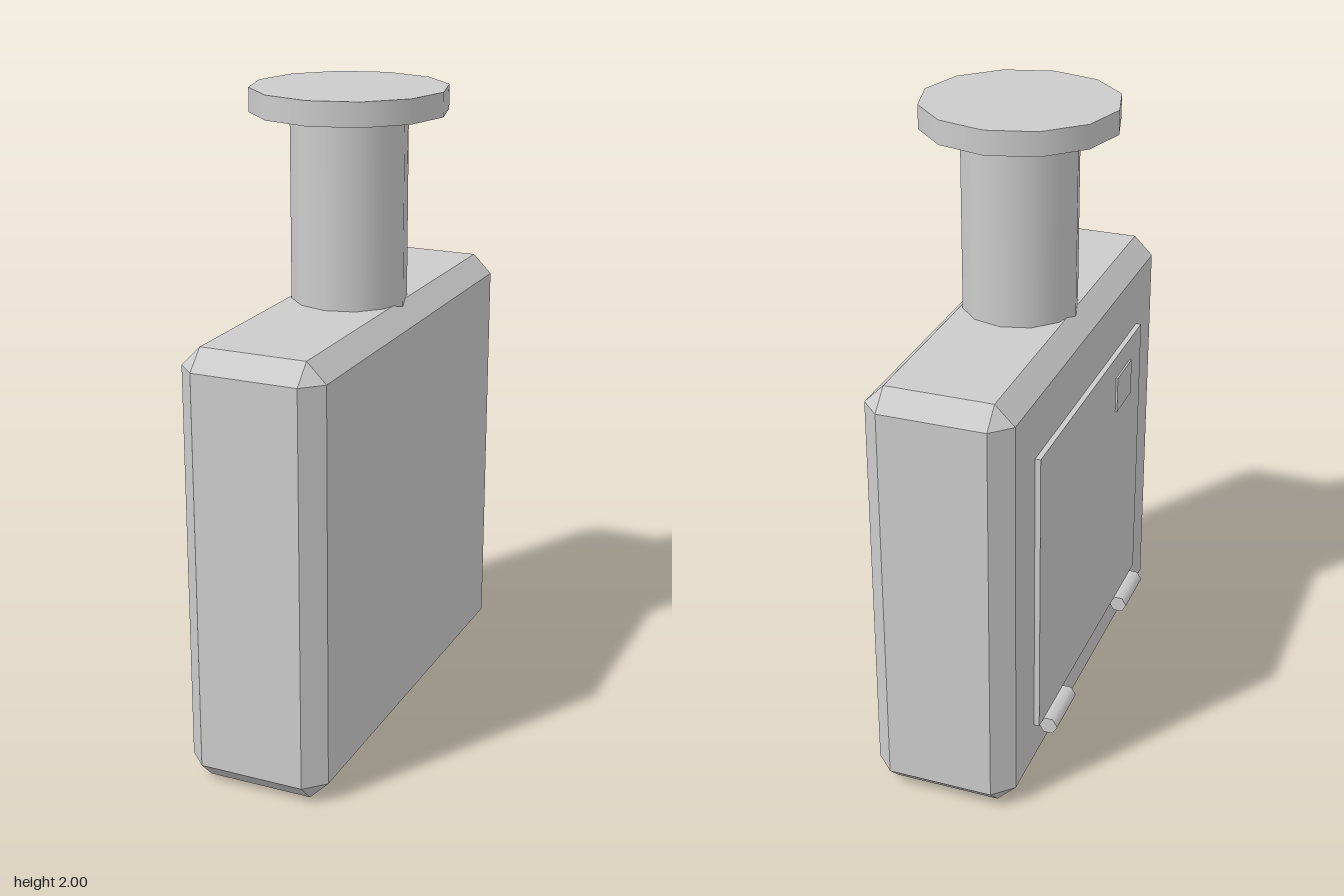
import * as THREE from 'three';
import { ConvexGeometry } from 'three/addons/geometries/ConvexGeometry.js';

// Box with all edges bevelled, corners cut to triangles
function bevelledBox(w, h, d, b) {
  const points = [];
  for (const sx of [-1, 1]) for (const sy of [-1, 1]) for (const sz of [-1, 1]) {
    const x = w / 2, y = h / 2, z = d / 2;
    points.push(
      new THREE.Vector3(sx * x, sy * (y - b), sz * (z - b)),
      new THREE.Vector3(sx * (x - b), sy * y, sz * (z - b)),
      new THREE.Vector3(sx * (x - b), sy * (y - b), sz * z)
    );
  }
  return new ConvexGeometry(points);
}

export function createModel() {
  const model = new THREE.Group();
  model.name = 'plungerBox';
  const grey = new THREE.MeshStandardMaterial({ color: 0xcccccc });
  grey.name = 'light grey';

  function add(name, geometry, x, y, z) {
    const mesh = new THREE.Mesh(geometry, grey);
    mesh.name = name;
    mesh.position.set(x, y, z);
    model.add(mesh);
    return mesh;
  }

  // Main body
  add('body', bevelledBox(0.45, 1.356, 1.426, 0.06), 0, 0.678, 0);

  // Plunger: shaft and wide twelve-sided cap, with a corner on the x axis
  add('plungerShaft', new THREE.CylinderGeometry(0.178, 0.178, 0.6, 12), 0, 1.64, 0);
  add('plungerCap', new THREE.CylinderGeometry(0.299, 0.299, 0.073, 12), 0, 1.9635, 0);

  // Door on the side, with its latch
  add('door', new THREE.BoxGeometry(0.025, 0.935, 0.985), -0.2295, 0.6475, 0);
  add('latch', new THREE.BoxGeometry(0.016, 0.12, 0.15), -0.24, 0.98, 0.3);

  // Hinge barrels under the door
  for (const side of [-1, 1]) {
    const barrel = new THREE.CylinderGeometry(0.03, 0.03, 0.18, 6);
    barrel.rotateY(Math.PI / 6).rotateX(Math.PI / 2);
    add('hinge', barrel, -0.256, 0.155, side * 0.36);
  }
  return model;
}
